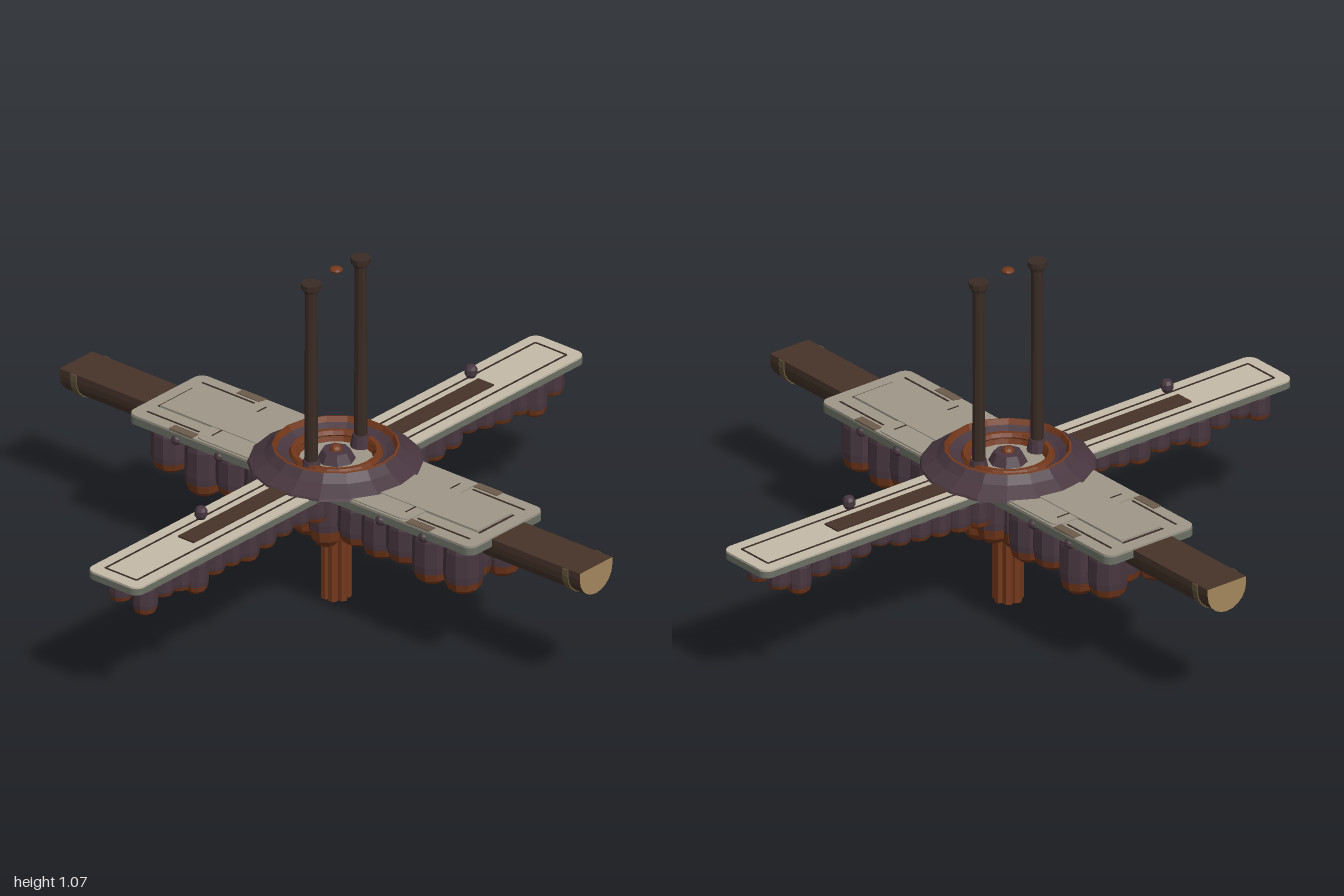
import * as THREE from 'three';

const mat = (name, color, flatShading = true) => new THREE.MeshStandardMaterial({ name, color, flatShading });

export function createModel() {
  const model = new THREE.Group();
  const M = {
    pale: mat('pale stone', 0xc4baa8),
    grey: mat('grey stone', 0x9e9789),
    edge: mat('olive edge', 0x6c7064),
    purple: mat('dusk purple', 0x48363f),
    rust: mat('rust', 0x73381b),
    bark: mat('bark brown', 0x47342a),
    wood: mat('cut wood', 0xa4875e),
    dark: mat('dark iron', 0x3a2b24),
    band: mat('band olive', 0x62533a),
    patch: mat('patch brown', 0x6c5c4b),
  };

  const add = (parent, name, geometry, material, x = 0, y = 0, z = 0) => {
    const mesh = new THREE.Mesh(geometry, material);
    mesh.name = name;
    mesh.position.set(x, y, z);
    parent.add(mesh);
    return mesh;
  };
  const group = (name) => {
    const g = new THREE.Group();
    g.name = name;
    model.add(g);
    return g;
  };
  const box = (parent, name, m, w, h, d, x, y, z) =>
    add(parent, name, new THREE.BoxGeometry(w, h, d), m, x, y, z);
  const lathe = (points, sides) =>
    new THREE.LatheGeometry(points.map(([r, y]) => new THREE.Vector2(r, y)), sides);

  // Flat slab with rounded corners, given by half sizes and height range
  const slab = (parent, name, m, a, b, r, y0, y1) => {
    const s = new THREE.Shape();
    s.moveTo(-a + r, -b);
    s.lineTo(a - r, -b);
    s.absarc(a - r, -b + r, r, -Math.PI / 2, 0);
    s.absarc(a - r, b - r, r, 0, Math.PI / 2);
    s.absarc(-a + r, b - r, r, Math.PI / 2, Math.PI);
    s.absarc(-a + r, -b + r, r, Math.PI, Math.PI * 1.5);
    const g = new THREE.ExtrudeGeometry(s, { depth: y1 - y0, bevelEnabled: false, curveSegments: 4 });
    g.rotateX(-Math.PI / 2);
    return add(parent, name, g, m, 0, y0, 0);
  };

  // Long cross arm from left to right, with a grooved border and a bark strip
  const wide = group('wideArm');
  slab(wide, 'wideArmEdge', M.edge, 0.995, 0.1, 0.03, 0.41, 0.43);
  slab(wide, 'wideArmTop', M.pale, 0.994, 0.099, 0.03, 0.43, 0.436);
  for (const s of [-1, 1]) {
    box(wide, 'longGroove', M.dark, 1.904, 0.002, 0.006, 0, 0.4365, s * 0.06);
    box(wide, 'endGroove', M.dark, 0.006, 0.002, 0.12, s * 0.952, 0.4365, 0);
  }
  box(wide, 'barkStrip', M.bark, 1.33, 0.006, 0.06, 0, 0.438, 0);

  // Shorter, broader arm from front to back
  const deep = group('deepArm');
  slab(deep, 'deepArmEdge', M.edge, 0.165, 0.662, 0.03, 0.408, 0.431);
  slab(deep, 'deepArmTop', M.grey, 0.164, 0.661, 0.03, 0.431, 0.438);
  slab(deep, 'deepArmInnerPlate', M.grey, 0.158, 0.41, 0.03, 0.438, 0.442);
  box(deep, 'deepArmPanel', M.grey, 0.152, 0.008, 1.22, 0, 0.4405, 0);
  for (const t of [-1, 1]) {
    box(deep, 'endGroove', M.dark, 0.152, 0.003, 0.007, 0, 0.438, t * 0.616);
    for (const s of [-1, 1]) {
      box(deep, 'outerGroove', M.dark, 0.006, 0.002, 0.2, s * 0.122, 0.4385, t * 0.52);
      box(deep, 'innerGroove', M.dark, 0.045, 0.002, 0.004, s * 0.098, 0.4425, t * 0.372);
      box(deep, 'edgePatch', M.patch, 0.028, 0.005, 0.09, s * 0.15, 0.438, t * 0.455);
      for (const z of [0.31, 0.475])
        add(deep, 'sideKnob', new THREE.IcosahedronGeometry(0.017, 1), M.purple, s * 0.158, 0.41, t * z);
    }
  }

  // Half-round log under the deep arm, with cut ends and bands
  const halfRound = (length, grow) => {
    const s = new THREE.Shape();
    s.moveTo(-0.072 - grow, 0.432);
    for (let i = 0; i <= 10; i++) {
      const a = Math.PI * (1 + i / 10);
      s.lineTo(Math.cos(a) * (0.072 + grow), 0.41 + Math.sin(a) * (0.068 + grow));
    }
    s.lineTo(0.072 + grow, 0.432);
    return new THREE.ExtrudeGeometry(s, { depth: length, bevelEnabled: false }).translate(0, 0, -length / 2);
  };
  const log = group('log');
  add(log, 'halfLog', halfRound(2, 0), [M.wood, M.bark]);
  for (const s of [-1, 1]) add(log, 'logBand', halfRound(0.022, 0.004), M.band, 0, -0.001, s * 0.945);

  // Hanging lobes: purple bodies with rust tips; tip is the rust share of the height
  const lobes = group('hangingLobes');
  const lobe = (x, z, r, bottom, tip) => {
    const top = 0.412;
    const h = top - bottom;
    const k = h * tip;
    const cut = bottom + k;
    add(lobes, 'lobeTip', lathe([[0, bottom], [r * 0.55, bottom + k * 0.1], [r * 0.85, bottom + k * 0.45],
      [r * 0.97, cut]], 10), M.rust, x, 0, z);
    add(lobes, 'lobeBody', lathe([[r * 0.97, cut], [r, cut + h * 0.12], [r * 0.97, top - h * 0.2],
      [r * 0.85, top - h * 0.06], [r * 0.7, top]], 10), M.purple, x, 0, z);
  };
  const leftEnds = [0.305, 0.335, 0.325, 0.288, 0.32, 0.32, 0.305, 0.32, 0.33, 0.33, 0.315];
  const rightEnds = [0.325, 0.285, 0.32, 0.32, 0.335, 0.35, 0.325, 0.315, 0.305, 0.295, 0.285];
  for (let i = 0; i < 11; i++) {
    const x = 0.9 - i * 0.075;
    for (const s of [-1, 1]) {
      const lift = s < 0 ? 0.012 : 0;
      lobe(-x, s * 0.047, 0.038, leftEnds[i] + lift, 0.24);
      lobe(x, s * 0.047, 0.038, rightEnds[i] + lift, 0.24);
    }
  }
  const deepRow = [[0.565, 0.23], [0.445, 0.222], [0.345, 0.255], [0.25, 0.24], [0.16, 0.25],
    [-0.2, 0.23], [-0.31, 0.25], [-0.43, 0.215], [-0.56, 0.25]];
  for (const [z, y] of deepRow) {
    lobe(0.086, z, 0.06, y, 0.25);
    lobe(-0.086, z, 0.06, y + 0.008, 0.25);
    lobe(0, z * 0.93, 0.058, y + 0.006, 0.28);
  }
  // Lobes gathered round the stem
  for (let i = 0; i < 8; i++) {
    const a = (i + 0.5) * Math.PI / 4;
    lobe(Math.cos(a) * 0.09, Math.sin(a) * 0.09, 0.054, 0.21 + (i % 3) * 0.015, 0.3);
  }
  lobe(0, 0, 0.07, 0.205, 0.3);

  // Fluted stem
  const stem = group('stem');
  add(stem, 'stemCore', new THREE.CylinderGeometry(0.033, 0.033, 0.3, 8), M.rust, 0, 0.15, 0);
  for (let i = 0; i < 7; i++) {
    const a = i * Math.PI * 2 / 7;
    add(stem, 'stemFlute', new THREE.CylinderGeometry(0.016, 0.016, 0.25, 6), M.rust,
      Math.cos(a) * 0.031, 0.125, Math.sin(a) * 0.031);
  }

  // Crater collar on top of the crossing: slope, rust lip, purple trough, rust inner ring
  const collar = group('collar');
  add(collar, 'collarSlope', lathe([[0.259, 0.434], [0.255, 0.442], [0.21, 0.468], [0.187, 0.492]], 18), M.purple);
  add(collar, 'collarLip', lathe([[0.187, 0.492], [0.18, 0.494], [0.172, 0.478]], 18), M.rust);
  add(collar, 'collarTrough', lathe([[0.172, 0.478], [0.15, 0.466], [0.13, 0.462]], 18), M.purple);
  add(collar, 'innerRing', new THREE.TorusGeometry(0.125, 0.013, 6, 24).rotateX(Math.PI / 2), M.rust, 0, 0.466, 0);
  add(collar, 'innerLining', lathe([[0.116, 0.464], [0.108, 0.442]], 18), M.rust);
  add(collar, 'collarFloor', new THREE.CylinderGeometry(0.112, 0.112, 0.01, 24), M.grey, 0, 0.441, 0);
  add(collar, 'hub', new THREE.CylinderGeometry(0.042, 0.058, 0.03, 8), M.purple, 0, 0.461, 0);
  add(collar, 'hubCore', new THREE.IcosahedronGeometry(0.02, 1), M.rust, 0, 0.474, 0);

  // Twin posts with caps and feet
  for (const s of [-1, 1]) {
    const post = group(s > 0 ? 'leftPost' : 'rightPost');
    post.position.x = s * 0.11;
    add(post, 'postShaft', new THREE.CylinderGeometry(0.018, 0.02, 0.61, 10), M.dark, 0, 0.745, 0);
    add(post, 'postCap', new THREE.CylinderGeometry(0.03, 0.03, 0.016, 10), M.dark, 0, 1.052, 0);
    add(post, 'postNeck', new THREE.CylinderGeometry(0.026, 0.022, 0.012, 10), M.dark, 0, 1.038, 0);
    add(post, 'postFoot', new THREE.CylinderGeometry(0.024, 0.032, 0.04, 10), M.purple, 0, 0.465, 0);
  }

  // Floating bead between the posts and knobs above the wide arm
  add(model, 'floatingBead', new THREE.SphereGeometry(0.02, 10, 6).scale(1, 0.45, 1), M.rust, 0, 1.062, 0);
  for (const s of [-1, 1])
    add(model, 'floatingKnob', lathe([[0, 0.479], [0.013, 0.482], [0.019, 0.492], [0.019, 0.508],
      [0.013, 0.518], [0, 0.521]], 8), M.purple, s * 0.598, 0, 0);

  return model;
}
